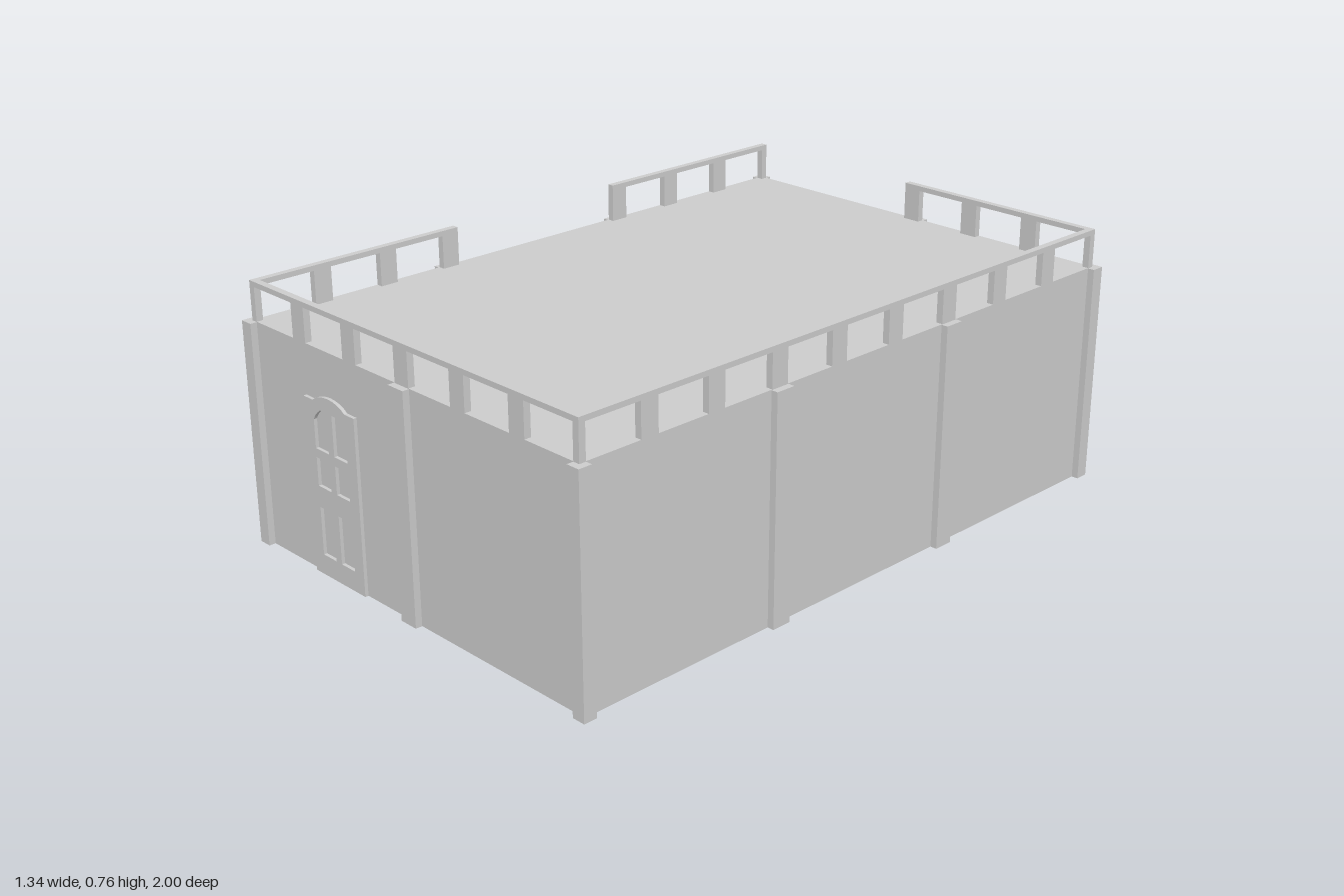
import * as THREE from 'three';

const W = 0.652, D = 0.98, H = 0.653;     // wall half-width, half-depth, height
const RAIL = 0.02, RAIL_TOP = 0.765, RAIL_H = 0.015;
const POST_W = 0.055, POST_Y = 0.64;

export function createModel() {
  const model = new THREE.Group();
  model.name = 'walledBuilding';
  const solid = new THREE.MeshStandardMaterial({ color: 0xcccccc, flatShading: true });
  const thin = new THREE.MeshStandardMaterial({ color: 0xcccccc, flatShading: true, side: THREE.DoubleSide });

  // box given by its min and max corners
  const box = (name, parent, x0, x1, y0, y1, z0, z1) => {
    const mesh = new THREE.Mesh(new THREE.BoxGeometry(x1 - x0, y1 - y0, z1 - z0), solid);
    mesh.position.set((x0 + x1) / 2, (y0 + y1) / 2, (z0 + z1) / 2);
    mesh.name = name;
    parent.add(mesh);
  };
  const plane = (name, w, h, pos, rx, ry) => {
    const mesh = new THREE.Mesh(new THREE.PlaneGeometry(w, h), thin);
    mesh.position.set(...pos);
    mesh.rotation.set(rx, ry, 0);
    mesh.name = name;
    model.add(mesh);
  };

  // thin walls and flat roof, open underneath
  plane('frontWall', 2 * W, H, [0, H / 2, D], 0, 0);
  plane('backWall', 2 * W, H, [0, H / 2, -D], 0, Math.PI);
  plane('leftWall', 2 * D, H, [W, H / 2, 0], 0, Math.PI / 2);
  plane('rightWall', 2 * D, H, [-W, H / 2, 0], 0, -Math.PI / 2);
  plane('roof', 2 * W, 2 * D, [0, H, 0], -Math.PI / 2, 0);

  // pillars straddling the walls
  const pillars = new THREE.Group();
  pillars.name = 'pillars';
  model.add(pillars);
  const pillar = (name, x, z, hx, hz) =>
    box(name, pillars, x - hx, x + hx, 0, H - 0.001, z - hz, z + hz);
  for (const s of [-1, 1]) {
    pillar('middlePillar', 0, s * D, 0.03, 0.02);
    for (const t of [-1, 1]) {
      pillar('cornerPillar', s * W, t * D, 0.02, 0.02);
      pillar('sidePillar', s * W, t * 0.327, 0.02, 0.03);
    }
  }

  // railing runs: a top bar, wide posts between, a slim post at each corner
  const railing = new THREE.Group();
  railing.name = 'railing';
  model.add(railing);
  const frontPosts = [-2, -1, 0, 1, 2].map(i => i * 0.218);
  const sidePosts = [-7, -5, -3, -1, 1, 3, 5, 7].map(i => i * 0.109);
  const run = (alongX, side, from, to, posts) => {
    const edge = side * (alongX ? D : W);
    const lo = Math.min(edge, edge - side * RAIL), hi = lo + RAIL;
    const bar = (name, a, b, y0, y1) => alongX
      ? box(name, railing, a, b, y0, y1, lo, hi)
      : box(name, railing, lo, hi, y0, y1, a, b);
    bar('topRail', from, to, RAIL_TOP - RAIL_H, RAIL_TOP);
    for (const p of posts) {
      if (p > from && p < to) bar('railPost', p - POST_W / 2, p + POST_W / 2, POST_Y, RAIL_TOP - RAIL_H);
    }
  };
  const half = POST_W / 2, gap = 0.327 - half;
  run(true, 1, -W, W, frontPosts);
  run(true, -1, -half, W, frontPosts);
  run(false, 1, RAIL - D, D - RAIL, sidePosts);
  run(false, -1, RAIL - D, -gap, sidePosts);
  run(false, -1, gap, D - RAIL, sidePosts);
  for (const s of [-1, 1]) for (const t of [-1, 1]) {
    const x = s * (W - RAIL / 2), z = t * (D - RAIL / 2), r = RAIL / 2;
    // the back right corner is closed only by the side run
    const top = s < 0 && t < 0 ? RAIL_TOP : RAIL_TOP - RAIL_H;
    box('cornerRailPost', railing, x - r, x + r, POST_Y, top, z - r, z + r);
  }

  // arched door with six panel openings, set through the front wall
  const door = new THREE.Shape();
  door.moveTo(-0.11, 0);
  door.lineTo(0.11, 0);
  door.lineTo(0.11, 0.507);
  door.lineTo(0.07, 0.507);
  door.bezierCurveTo(0.035, 0.535, -0.035, 0.535, -0.07, 0.507);
  door.lineTo(-0.11, 0.507);
  door.closePath();
  for (const s of [-1, 1]) {
    const inner = s * 0.012, outer = s * 0.07;
    for (const [y0, y1] of [[0.06, 0.2], [0.262, 0.344]]) {
      door.holes.push(new THREE.Path([[inner, y0], [outer, y0], [outer, y1], [inner, y1]]
        .map(p => new THREE.Vector2(...p))));
    }
    const arch = new THREE.Path();
    arch.moveTo(inner, 0.37);
    arch.lineTo(outer, 0.37);
    arch.lineTo(outer, 0.452);
    arch.quadraticCurveTo(s * 0.06, 0.472, s * 0.038, 0.486);
    arch.lineTo(inner, 0.486);
    arch.closePath();
    door.holes.push(arch);
  }
  const doorMesh = new THREE.Mesh(
    new THREE.ExtrudeGeometry(door, { depth: 0.02, bevelEnabled: false, curveSegments: 8 }), solid);
  doorMesh.position.set(-0.31, 0, D - 0.01);
  doorMesh.name = 'door';
  model.add(doorMesh);

  return model;
}
